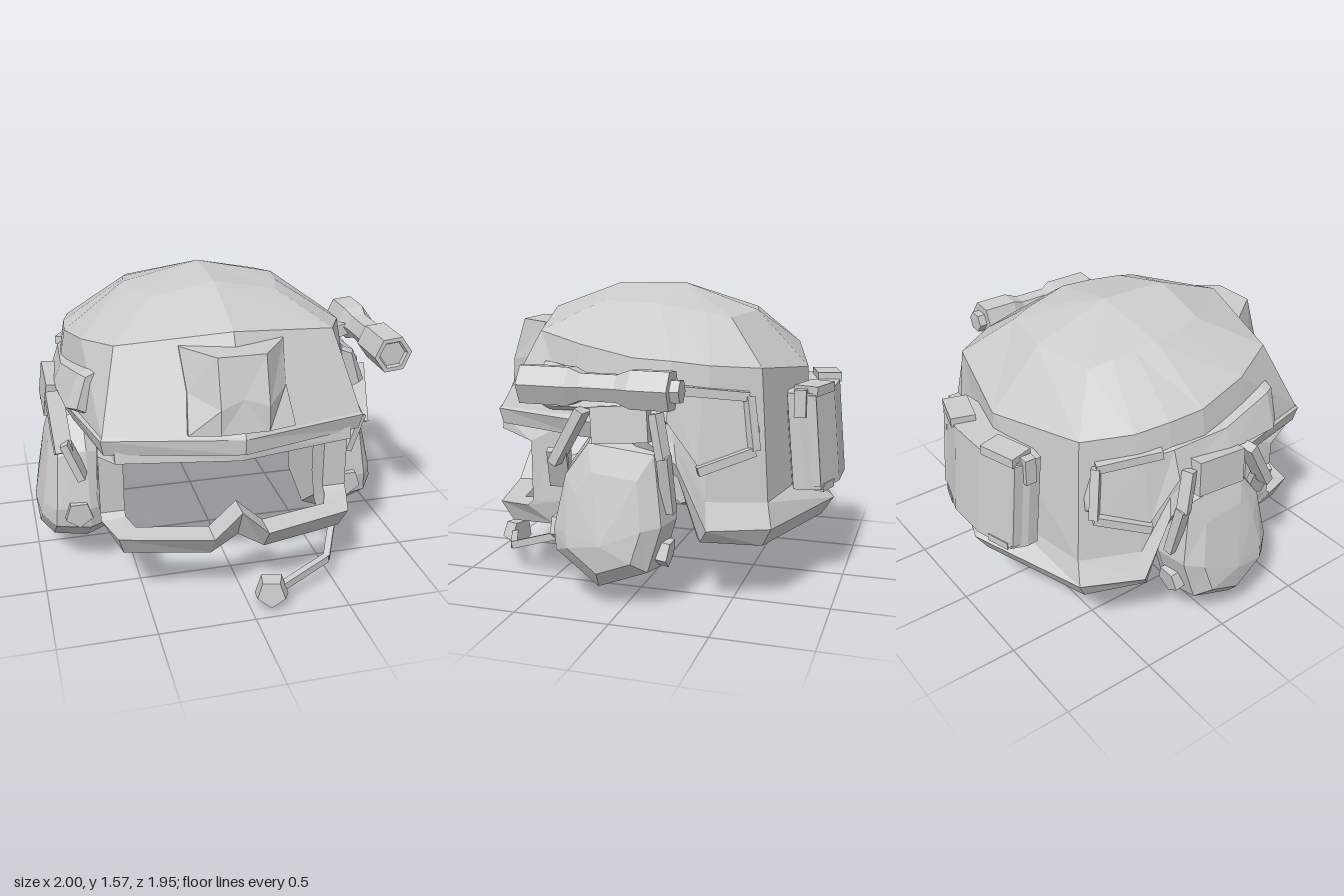
import * as THREE from 'three';

const mat = new THREE.MeshStandardMaterial({ color: 0xcccccc, flatShading: true, side: THREE.DoubleSide });

function addMesh(parent, name, geo, pos = [0, 0, 0], rot = [0, 0, 0]) {
  const m = new THREE.Mesh(geo, mat);
  m.name = name;
  m.position.set(...pos);
  m.rotation.set(...rot);
  parent.add(m);
  return m;
}

// Solid through rings of equal point count; ends fan to a centre. Closed strips have no caps.
function loft(rings, { capA, capB, loop = false } = {}) {
  const pos = [], n = rings[0].length;
  const tri = (...p) => p.forEach(q => pos.push(...q));
  const mean = r => [0, 1, 2].map(k => r.reduce((s, p) => s + p[k], 0) / n);
  const count = loop ? rings.length : rings.length - 1;
  for (let i = 0; i < count; i++) {
    const a = rings[i], b = rings[(i + 1) % rings.length];
    for (let j = 0; j < n; j++) {
      const k = (j + 1) % n;
      tri(a[j], b[j], b[k]);
      tri(a[j], b[k], a[k]);
    }
  }
  if (!loop) {
    const A = rings[0], B = rings[rings.length - 1];
    const ca = capA || mean(A), cb = capB || mean(B);
    for (let j = 0; j < n; j++) {
      const k = (j + 1) % n;
      tri(ca, A[j], A[k]);
      tri(cb, B[k], B[j]);
    }
  }
  // turn the surface outward if its signed volume is negative
  let vol = 0;
  const v = i => new THREE.Vector3().fromArray(pos, i);
  for (let i = 0; i < pos.length; i += 9) vol += v(i).dot(v(i + 3).cross(v(i + 6)));
  if (vol < 0) {
    for (let i = 0; i < pos.length; i += 9)
      for (let k = 0; k < 3; k++) [pos[i + 3 + k], pos[i + 6 + k]] = [pos[i + 6 + k], pos[i + 3 + k]];
  }
  const g = new THREE.BufferGeometry();
  g.setAttribute('position', new THREE.Float32BufferAttribute(pos, 3));
  g.computeVertexNormals();
  return g;
}

// Rectangular beam between two points
function bar(parent, name, a, b, w, h) {
  const A = new THREE.Vector3(...a), B = new THREE.Vector3(...b);
  const m = new THREE.Mesh(new THREE.BoxGeometry(w, h, A.distanceTo(B)), mat);
  m.name = name;
  m.position.copy(A).lerp(B, 0.5);
  m.lookAt(B);
  parent.add(m);
}

const flip = ([x, y, z]) => [-x, y, z];
// Half ring, front centre to back centre, completed by its mirror
const fullRing = h => [...h, ...h.slice(1, -1).reverse().map(flip)];

function buildShell(g) {
  const crown = [[0, 1.56, .3], [.33, 1.49, .27], [.38, 1.49, .1], [.41, 1.485, -.06], [.39, 1.465, -.18], [.37, 1.445, -.3], [.335, 1.42, -.42], [0, 1.43, -.49]];
  const brow = [[0, 1.42, .68], [.555, 1.345, .535], [.68, 1.3, .27], [.735, 1.25, -.03], [.72, 1.24, -.22], [.68, 1.22, -.4], [.555, 1.2, -.63], [0, 1.135, -.77]];
  const wall = [[0, .975, .92], [.655, .955, .725], [.74, .95, .3], [.79, .95, -.03], [.78, .85, -.25], [.75, .56, -.4], [.6, .54, -.68], [0, .55, -.79]];
  const flare = [[0, .965, .925], [.665, .945, .735], [.755, .93, .3], [.81, .92, -.03], [.81, .75, -.27], [.81, .43, -.42], [.655, .42, -.71], [0, .42, -.93]];
  const rim = [[0, .885, .92], [.65, .865, .72], [.73, .84, .25], [.78, .84, -.03], [.78, .68, -.27], [.77, .36, -.38], [.62, .32, -.66], [0, .32, -.865]];
  const inset = (h, s, dy) => h.map(([x, y, z]) => [x * s, y + dy, z * s]);
  const rings = [crown, brow, wall, flare, rim,
    inset(rim, .92, 0), inset(wall, .92, 0), inset(brow, .92, -.04), inset(crown, .92, -.06)].map(fullRing);
  addMesh(g, 'helmetShell', loft(rings, { capA: [0, 1.57, -.08], capB: [0, 1.5, -.08] }));
}

function buildFrontMount(g) {
  // top, waist and bottom pairs of [half width, y, z]
  const outline = rows => [...rows, ...rows.map(flip).reverse()];
  addMesh(g, 'frontMount', loft([
    outline([[.26, 1.355, .55], [.245, 1.16, .65], [.265, .985, .78]]),
    outline([[.26, 1.355, .64], [.245, 1.16, .75], [.265, .985, .86]]),
    outline([[.118, 1.355, .835], [.118, 1.12, .91], [.118, .995, .915]])]));
}

function buildFaceFrame(g) {
  // each section: outer and inner corner on the opening side, then inner and outer behind
  const half = [
    [[0, .825, .86], [0, .825, .76], [0, .89, .76], [0, .89, .86]],
    [[.6, .825, .75], [.53, .825, .67], [.53, .89, .67], [.6, .89, .74]],
    [[.66, .78, .56], [.535, .77, .56], [.535, .87, .39], [.64, .87, .39]],
    [[.66, .46, .56], [.535, .46, .56], [.535, .47, .39], [.655, .47, .39]],
    [[.66, .43, .59], [.535, .44, .59], [.53, .33, .455], [.63, .33, .455]],
    [[.6, .42, .775], [.5, .425, .68], [.5, .305, .64], [.57, .31, .72]],
    [[.14, .415, .885], [.14, .42, .75], [.14, .295, .7], [.14, .295, .8]],
    [[0, .55, .885], [0, .55, .75], [0, .385, .7], [0, .385, .8]]];
  const mirrored = half.slice(1, -1).reverse().map(s => s.map(flip));
  addMesh(g, 'faceFrame', loft([...half, ...mirrored], { loop: true }));
}

function buildSide(g, s) {
  const tag = s > 0 ? 'left' : 'right';

  // ear cup: flat pad side, full outline, domed outer face
  const outline = [[.12, .08], [-.165, .19], [-.24, .45], [-.19, .84], [.19, .88], [.32, .7], [.385, .39], [.37, .27]];
  const cupRing = (x0, lean, k) => outline.map(([z, y]) => {
    const Z = .07 + (z - .07) * k, Y = .4 + (y - .4) * k;
    return [s * (x0 - lean * Math.max(0, Y - .3)), Y, Z];
  });
  addMesh(g, tag + 'EarCup', loft(
    [cupRing(.585, 0, .88), cupRing(.69, 0, 1), cupRing(.87, .09, .9), cupRing(.94, .17, .62)],
    { capB: [s * .955, .35, .08] }));
  const knob = new THREE.CylinderGeometry(.075, .075, .07, 5);
  addMesh(g, tag + 'FrontKnob', knob, [s * .75, .365, .36], [Math.PI / 2, 0, 0]);
  addMesh(g, tag + 'BackKnob', knob, [s * .75, .285, -.19], [Math.PI / 2 - .15, 0, 0]);

  // headset arms and pivot block
  addMesh(g, tag + 'PivotBlock', new THREE.BoxGeometry(.085, .18, .29), [s * .83, .94, 0], [.09, 0, s * .12]);
  bar(g, tag + 'FrontArm', [s * .83, 1.0, .2], [s * .81, .72, .36], .09, .05);
  bar(g, tag + 'FrontArmEnd', [s * .8, .78, .355], [s * .72, .58, .375], .1, .04);
  bar(g, tag + 'BackArm', [s * .82, 1.0, -.17], [s * .84, .78, -.215], .06, .05);
  bar(g, tag + 'BackArmEnd', [s * .84, .8, -.215], [s * .77, .5, -.225], .06, .05);

  // accessory rail: z, top, bottom, outer top x, outer bottom x
  const rail = [[.48, 1.2, .98, .69, .74], [.42, 1.2, .97, .72, .79], [.1, 1.14, .98, .775, .82], [-.22, 1.13, .93, .76, .81],
    [-.37, 1.11, .71, .715, .775], [-.58, 1.08, .78, .615, .66], [-.63, .92, .82, .6, .64]];
  addMesh(g, tag + 'Rail', loft(rail.map(([z, t, b, xt, xb]) => [
    [s * (xt - .06), t, z], [s * xt, t - .025, z], [s * xb, b + .03, z], [s * (xb - .06), b, z]])));
  // raised border around the rear of the rail
  const edge = [[.745, 1.105, -.28], [.62, 1.07, -.58], [.655, .81, -.62], [.785, .72, -.37]].map(([x, y, z]) => [s * x, y, z]);
  for (let i = 0; i < 3; i++) bar(g, tag + 'RailBorder', edge[i], edge[i + 1], .045, .045);
}

function buildBackPack(g) {
  const plan = (y, dz) => fullRing([[0, y, -.68], [.36, y, -.72 + dz], [.365, y, -.78 + dz],
    [.335, y, -.86 + dz], [.12, y, -.925 + dz], [0, y, -.925 + dz]]);
  addMesh(g, 'batteryPack', loft([plan(.55, -.045), plan(1.05, 0)]));
  for (const s of [-1, 1]) {
    addMesh(g, 'packTopClip', new THREE.BoxGeometry(.21, .05, .13), [s * .23, 1.06, -.84], [0, -s * .29, 0]);
    addMesh(g, 'packBottomClip', new THREE.BoxGeometry(.13, .04, .09), [s * .24, .555, -.89], [0, -s * .29, 0]);
    bar(g, 'packSideStrap', [s * .34, 1.04, -.84], [s * .34, .57, -.88], .03, .05);
    addMesh(g, 'packSideTab', new THREE.BoxGeometry(.05, .14, .06), [s * .355, 1.0, -.79]);
  }
}

function buildFlashlight(g) {
  const profile = [[0, -.335], [.06, -.335], [.06, -.29], [.105, -.29], [.105, -.1], [.075, -.03], [.075, .15],
    [.105, .21], [.105, .455], [.08, .455], [.07, .44], [0, .44]].map(p => new THREE.Vector2(...p));
  const geo = new THREE.LatheGeometry(profile, 6, Math.PI / 2 + .1);
  addMesh(g, 'flashlight', geo, [.938, 1.135, 0], [Math.PI / 2, 0, 0]);
  addMesh(g, 'flashlightBracket', new THREE.BoxGeometry(.12, .07, .14), [.82, 1.1, -.12], [0, 0, .3]);
}

function buildMicrophone(g) {
  const path = [[.74, .36, .34], [.68, .29, .4], [.5, .14, .76], [.2, .095, .9]];
  for (let i = 0; i < 3; i++) bar(g, 'microphoneBoom', path[i], path[i + 1], .035, .04);
  addMesh(g, 'microphoneTip', new THREE.CylinderGeometry(.075, .09, .08, 5), [.15, .09, .915], [Math.PI / 2 - .12, 0, .3]);
}

export function createModel() {
  const root = new THREE.Group();
  root.name = 'helmet';
  // the helmet's own mid-plane, shifted to make room for the flashlight
  const body = new THREE.Group();
  body.name = 'helmetAssembly';
  body.position.x = -.045;
  root.add(body);
  buildShell(body);
  buildFrontMount(body);
  buildFaceFrame(body);
  for (const s of [-1, 1]) buildSide(body, s);
  buildBackPack(body);
  buildFlashlight(body);
  buildMicrophone(body);
  return root;
}
